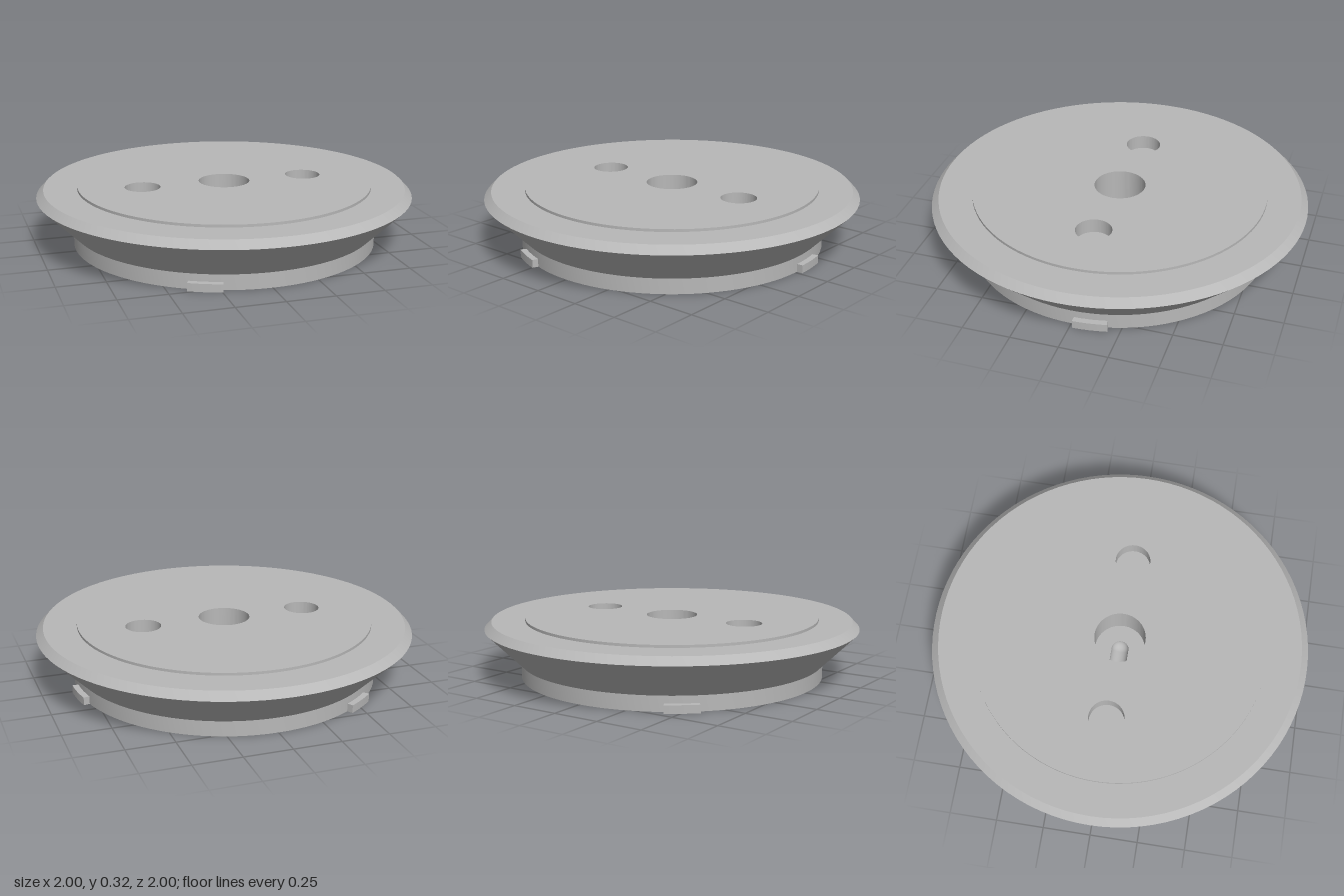
import * as THREE from 'three';
import { toCreasedNormals } from 'three/addons/utils/BufferGeometryUtils.js';

const SEG = 96;
const rad = THREE.MathUtils.degToRad;

// Circle outline
function circle(r, x = 0, y = 0) {
  const path = new THREE.Shape();
  path.absarc(x, y, r, 0, Math.PI * 2, false);
  return path;
}

// Ring sector outline between two radii and two angles in degrees
function sector(inner, outer, from, to) {
  const path = new THREE.Shape();
  path.absarc(0, 0, outer, rad(from), rad(to), false);
  path.absarc(0, 0, inner, rad(to), rad(from), true);
  path.closePath();
  return path;
}

// Flat horizontal face; an upward face mirrors the outline in z
function flatFace(shape, y, up, holes = []) {
  shape.holes.push(...holes);
  const geo = new THREE.ShapeGeometry(shape, SEG / 2);
  return geo.rotateX(up ? -Math.PI / 2 : Math.PI / 2).translate(0, y, 0);
}

// Upright wall facing into an outline, for recesses
function recessWall(shape, y0, y1) {
  const pts = shape.getPoints(SEG / 2);
  const pos = [];
  pts.forEach((a, i) => {
    const b = pts[(i + 1) % pts.length];
    if (a.distanceTo(b) < 1e-6) return;
    pos.push(a.x, y0, a.y, b.x, y0, b.y, b.x, y1, b.y);
    pos.push(a.x, y0, a.y, b.x, y1, b.y, a.x, y1, a.y);
  });
  const geo = new THREE.BufferGeometry();
  geo.setAttribute('position', new THREE.Float32BufferAttribute(pos, 3));
  return toCreasedNormals(geo, rad(30));
}

export function createModel() {
  const group = new THREE.Group();
  const grey = new THREE.MeshStandardMaterial({ color: 0xb8b8b8, side: THREE.DoubleSide });
  grey.name = 'plain grey';
  const add = (name, geo) => {
    const mesh = new THREE.Mesh(geo, grey);
    mesh.name = name;
    group.add(mesh);
    return mesh;
  };

  // Turned outer body: foot, flared side, bevelled rim, raised disc edge
  const profile = [[0.81, 0], [0.81, 0.08], [1, 0.267], [0.962, 0.306], [0.785, 0.306], [0.785, 0.32]];
  const lathe = new THREE.LatheGeometry(profile.map(([r, y]) => new THREE.Vector2(r, y)), SEG);
  add('body', toCreasedNormals(lathe, rad(20)));

  // Top face with a central hole and two side holes
  const top = 0.32, centreFloor = 0.14, sideFloor = 0.243;
  const centreR = 0.136, sideR = 0.094, sideX = 0.448;
  add('topFace', flatFace(circle(0.785), top, true,
    [circle(centreR), circle(sideR, sideX), circle(sideR, -sideX)]));
  add('centreHoleWall', recessWall(circle(centreR), centreFloor, top));
  for (const s of [-1, 1]) {
    add('sideHoleWall', recessWall(circle(sideR, s * sideX), sideFloor, top));
    add('sideHoleFloor', flatFace(circle(sideR, s * sideX), sideFloor, true));
  }

  // Round-bottomed groove in the central hole's floor
  const gr = 0.046, gx = 0.126;
  const groove = new THREE.Shape();
  groove.moveTo(-gx, -gr);
  groove.lineTo(0, -gr);
  groove.absarc(0, 0, gr, -Math.PI / 2, Math.PI / 2, false);
  groove.lineTo(-gx, gr);
  groove.closePath();
  add('centreHoleFloor', flatFace(circle(centreR), centreFloor, true, [groove]));
  add('grooveChannel', new THREE.CylinderGeometry(gr, gr, gx, 24, 1, true, Math.PI, Math.PI)
    .rotateZ(Math.PI / 2).translate(-gx / 2, centreFloor, 0));
  add('grooveRoundEnd', new THREE.SphereGeometry(gr, 24, 12, Math.PI / 2, Math.PI, Math.PI / 2, Math.PI / 2)
    .translate(0, centreFloor, 0));
  add('grooveFlatEnd', new THREE.CircleGeometry(gr, 24, Math.PI, Math.PI)
    .rotateY(Math.PI / 2).translate(-gx, centreFloor, 0));

  // Underside with a curved slot
  const slot = () => sector(0.615, 0.735, 125, 168);
  const slotDepth = 0.1;
  add('underside', flatFace(circle(0.81), 0, false, [slot()]));
  add('slotWall', recessWall(slot(), 0, slotDepth));
  add('slotFloor', flatFace(slot(), slotDepth, false));

  // Three locking tabs around the foot
  const tabHeight = 0.042;
  for (const angle of [-7, 113, 233]) {
    const tab = new THREE.ExtrudeGeometry(sector(0.8, 0.842, angle - 6, angle + 6),
      { depth: tabHeight, bevelEnabled: false, curveSegments: 8 });
    tab.rotateX(Math.PI / 2).translate(0, tabHeight, 0);
    add('lockingTab', toCreasedNormals(tab, rad(30)));
  }
  return group;
}
